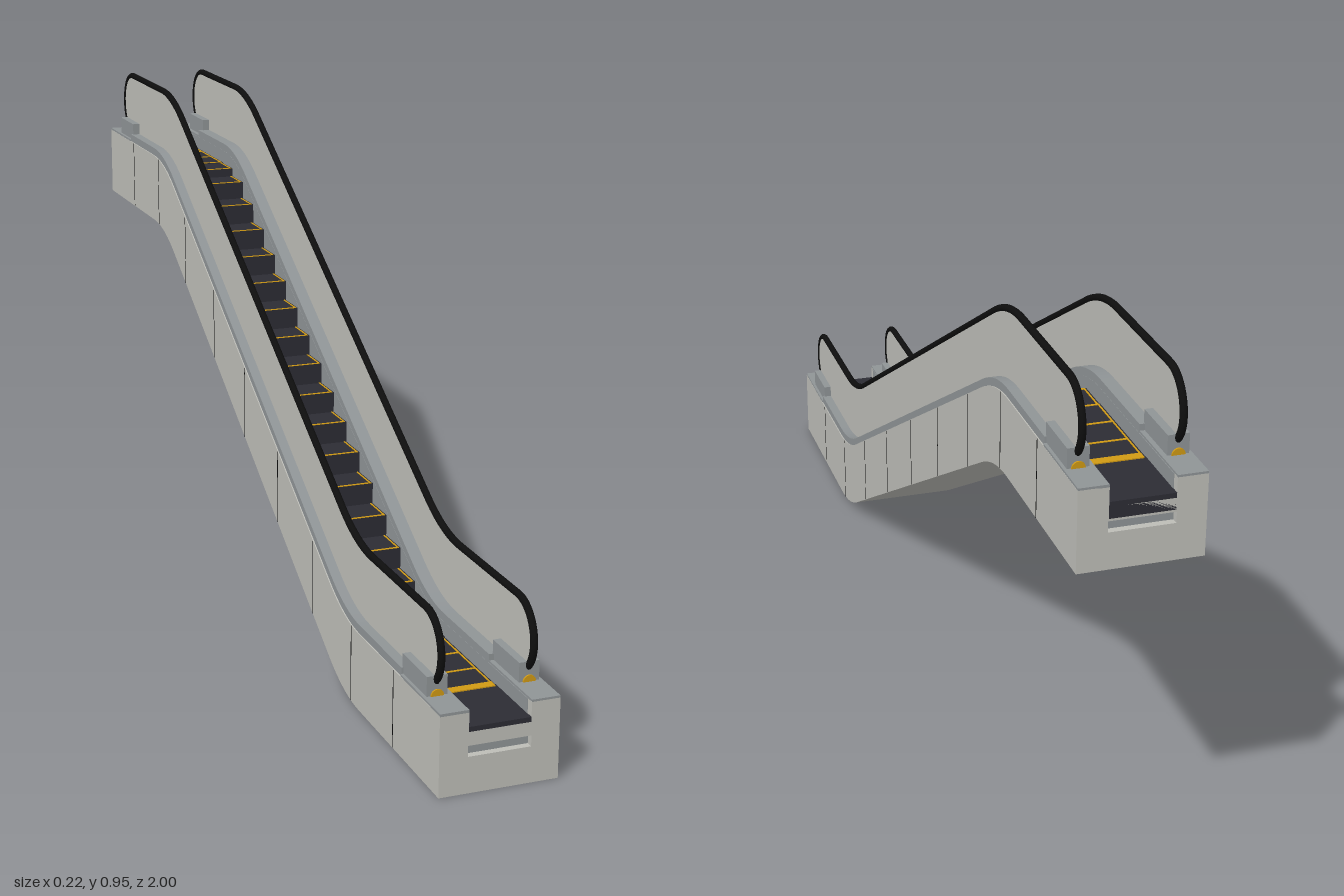
import * as THREE from 'three';

const SLOPE = 0.577, BEND = 0.563, SOFT = 0.075, RISE = 2 * SLOPE * BEND;

// Height of the lower edge of the body at any z: flat, rounded bend, 30 degree incline, bend, flat
function base(z) {
  if (z < 0) return RISE - base(-z);
  if (z >= BEND + SOFT) return 0;
  if (z <= BEND - SOFT) return SLOPE * (BEND - z);
  return SLOPE * (BEND + SOFT - z) ** 2 / (4 * SOFT);
}

// z samples from z0 down to z1, dense only in the bends
function samples(z0, z1) {
  const zs = [];
  for (const s of [1, -1]) {
    for (let i = 0; i <= 10; i++) zs.push(s * (BEND + s * SOFT * (1 - i / 5)));
  }
  return [z0, ...zs.filter(z => z < z0 && z > z1), z1];
}

// Extrude an outline given as (z, y) points across x0..x1
function across(points, x0, x1) {
  const g = new THREE.ExtrudeGeometry(new THREE.Shape(points), { depth: x1 - x0, bevelEnabled: false });
  return g.rotateY(-Math.PI / 2).translate(x1, 0, 0);
}

// Band following the incline between two heights above the base line
function ribbon(z0, z1, lo, hi, x0, x1) {
  const zs = samples(z0, z1);
  const low = zs.map(z => new THREE.Vector2(z, base(z) + lo));
  const high = zs.map(z => new THREE.Vector2(z, base(z) + hi)).reverse();
  return across([...low, ...high], x0, x1);
}

// Line of the handrail, curling down at both ends
function railLine() {
  const pts = [];
  const arc = [];
  for (let i = 0; i <= 14; i++) {
    const a = THREE.MathUtils.degToRad(-50 + i * 10);
    arc.push([0.88 + 0.065 * Math.cos(a), 0.225 + 0.067 * Math.sin(a)]);
  }
  arc.forEach(([z, y]) => pts.push(new THREE.Vector2(z, y)));
  for (let i = 1; i < 88; i++) {
    const z = 0.88 - i * 0.02;
    pts.push(new THREE.Vector2(z, base(z) + 0.292));
  }
  arc.reverse().forEach(([z, y]) => pts.push(new THREE.Vector2(-z, y + RISE)));
  return pts;
}

export function createModel() {
  const model = new THREE.Group();
  model.name = 'escalator';
  const material = (name, color) => {
    const m = new THREE.MeshStandardMaterial({ color });
    m.name = name;
    return m;
  };
  const panelGrey = material('panelGrey', 0xbdbdb7);
  const deckGrey = material('deckGrey', 0x8f9496);
  const stepDark = material('stepDark', 0x2c2c34);
  const black = material('rubberBlack', 0x0e0e0e);
  const yellow = material('safetyYellow', 0xd09a14);

  const add = (name, geometry, mat, parent = model) => {
    const mesh = new THREE.Mesh(geometry, mat);
    mesh.name = name;
    parent.add(mesh);
    return mesh;
  };
  const box = (name, w, h, d, x, y, z, mat, parent) =>
    add(name, new THREE.BoxGeometry(w, h, d).translate(x, y, z), mat, parent);

  // Body under the steps
  add('trussBody', ribbon(0.985, -0.985, 0, 0.093, -0.06, 0.06), panelGrey);

  // End panels with a slot, floor plates and combs
  for (const s of [1, -1]) {
    const y0 = s > 0 ? 0 : RISE;
    const end = new THREE.Group();
    end.name = s > 0 ? 'lowerLanding' : 'upperLanding';
    model.add(end);
    const outline = new THREE.Shape([
      [-0.11, 0], [0.11, 0], [0.11, 0.148], [0.057, 0.148],
      [0.057, 0.112], [-0.057, 0.112], [-0.057, 0.148], [-0.11, 0.148],
    ].map(p => new THREE.Vector2(...p)));
    outline.holes.push(new THREE.Path([
      [-0.058, 0.067], [-0.058, 0.087], [0.058, 0.087], [0.058, 0.067],
    ].map(p => new THREE.Vector2(...p))));
    const panel = new THREE.ExtrudeGeometry(outline, { depth: 0.015, bevelEnabled: false });
    panel.translate(0, y0, s > 0 ? 0.985 : -1);
    add('endPanel', panel, panelGrey, end);
    box('slotBack', 0.116, 0.02, 0.002, 0, y0 + 0.077, s * 0.986, deckGrey, end);
    box('floorPlate', 0.114, 0.03, 0.14, 0, y0 + 0.106, s * 0.93, stepDark, end);
    box('comb', 0.104, 0.003, 0.018, 0, y0 + 0.1215, s * 0.86, yellow, end);
  }

  // Steps with yellow edges
  const COUNT = 24, PITCH = 1.72 / COUNT;
  for (let i = 0; i < COUNT; i++) {
    const z = 0.86 - (i + 0.5) * PITCH, y = base(z) + 0.12;
    const step = new THREE.Group();
    step.name = 'step';
    step.position.set(0, y, z);
    model.add(step);
    box('tread', 0.112, 0.05, PITCH, 0, -0.025, 0, stepDark, step);
    box('noseLine', 0.106, 0.001, 0.005, 0, 0.0005, PITCH / 2 - 0.0025, yellow, step);
    for (const s of [1, -1]) {
      box('edgeLine', 0.003, 0.001, PITCH - 0.005, s * 0.0515, 0.0005, -0.0025, yellow, step);
    }
  }

  // Sides: wall, deck, glass, handrail and newels
  const line = railLine();
  const foot = samples(0.9, -0.9).reverse().map(z => new THREE.Vector2(z, base(z) + 0.15));
  for (const s of [1, -1]) {
    const side = new THREE.Group();
    side.name = s > 0 ? 'leftSide' : 'rightSide';
    model.add(side);
    const span = (a, b) => (s > 0 ? [a, b] : [-b, -a]);

    add('sideWall', ribbon(0.985, -0.985, 0, 0.148, ...span(0.058, 0.11)), panelGrey, side);
    add('skirt', ribbon(0.985, -0.985, 0.1, 0.148, ...span(0.0562, 0.058)), deckGrey, side);
    add('deck', ribbon(0.83, -0.83, 0.146, 0.164, ...span(0.0566, 0.108)), deckGrey, side);
    add('balustrade', across([...line, ...foot], ...span(0.081, 0.089)), panelGrey, side);

    const curve = new THREE.CatmullRomCurve3(line.map(p => new THREE.Vector3(s * 0.085, p.y, p.x)));
    add('handrail', new THREE.TubeGeometry(curve, 240, 0.0068, 10), black, side);

    for (const e of [1, -1]) {
      const y0 = e > 0 ? 0 : RISE;
      box('landingDeck', 0.0525, 0.005, 0.17, s * 0.08345, y0 + 0.1495, e * 0.915, deckGrey, side);
      box('newelBox', 0.038, 0.04, 0.105, s * 0.085, y0 + 0.168, e * 0.8775, deckGrey, side);
      const inlet = new THREE.CylinderGeometry(0.012, 0.012, 0.004, 20).rotateX(Math.PI / 2);
      add('handrailInlet', inlet.translate(s * 0.085, y0 + 0.152, e * 0.931), yellow, side);
    }

    // Fine joints between the cladding panels
    for (let i = -4; i <= 4; i++) {
      const z = i * 0.2;
      box('panelJoint', 0.001, 0.146, 0.0015, s * 0.1101, base(z) + 0.074, z, black, side);
    }
  }
  return model;
}
